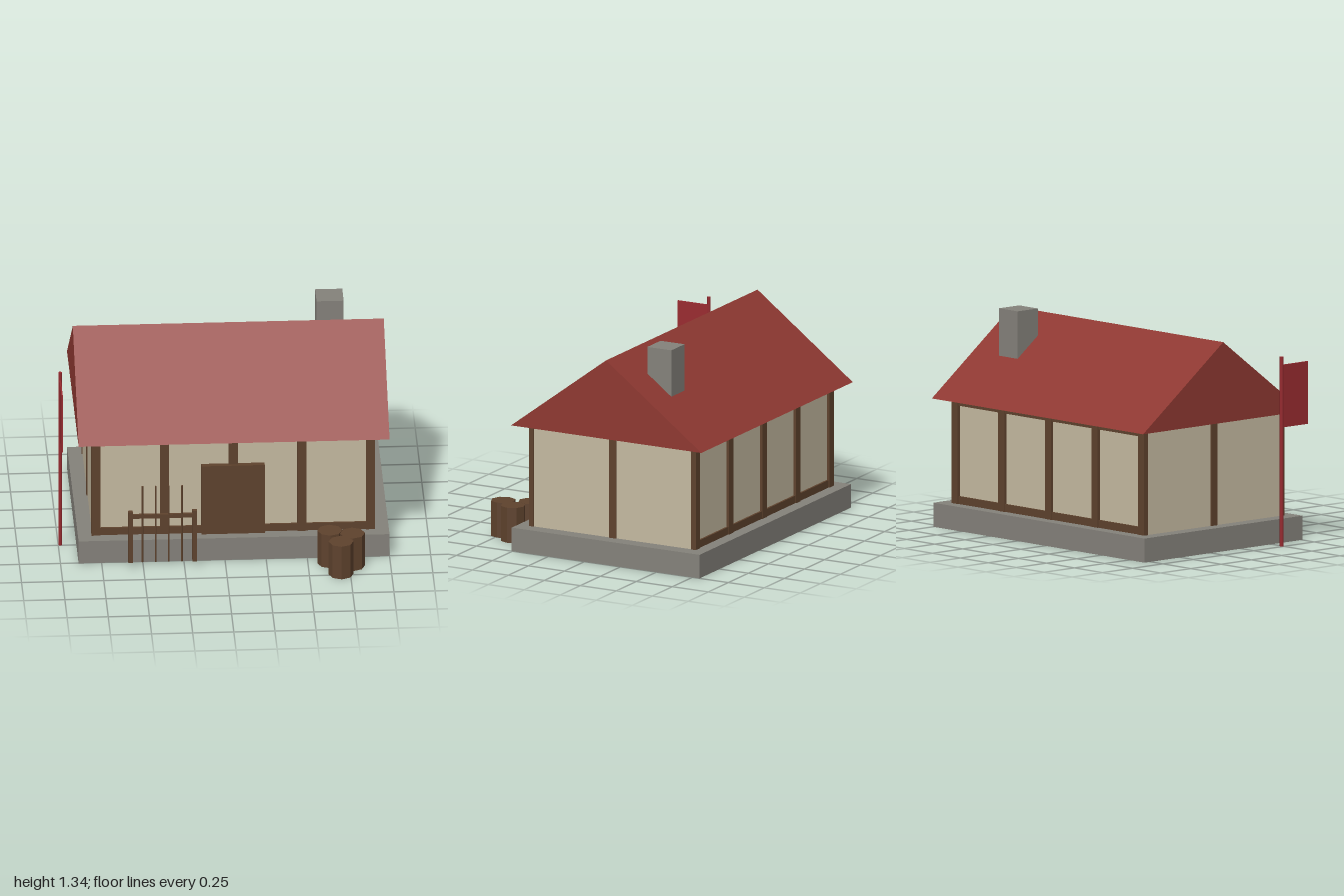
import * as THREE from 'three';

const mat = (name, color) => Object.assign(new THREE.MeshStandardMaterial({ color }), { name });

export function createModel() {
  const plaster = mat('plaster', 0xc4b9a0);
  const timber = mat('timber', 0x5e422d);
  const stone = mat('stone', 0x84817a);
  const tiles = mat('roofRed', 0x8e3831);
  const cloth = mat('flagRed', 0x992b30);

  const house = new THREE.Group();
  house.name = 'house';

  const add = (name, geometry, material) => {
    const mesh = new THREE.Mesh(geometry, material);
    mesh.name = name;
    house.add(mesh);
    return mesh;
  };

  // Box given by its limits on each axis
  const box = (name, material, [x0, x1], [y0, y1], [z0, z1]) => {
    const mesh = add(name, new THREE.BoxGeometry(x1 - x0, y1 - y0, z1 - z0), material);
    mesh.position.set((x0 + x1) / 2, (y0 + y1) / 2, (z0 + z1) / 2);
    return mesh;
  };
  const around = (c, width) => [c - width / 2, c + width / 2];

  const cx = 0.054, cz = -0.148;      // centre of the building
  const floor = 0.148, eave = 0.79;

  // Foundation and walls
  box('foundation', stone, [-0.89, 1], [0, floor], [-0.8, 0.505]);
  box('walls', plaster, around(cx, 1.712), [floor, eave], around(cz, 1.12));

  // Timber frame on the front and back walls
  for (const side of [1, -1]) {
    const z = around(cz + side * 0.563, 0.032);
    for (let i = -2; i <= 2; i++) {
      box('wallPost', timber, around(cx + i * 0.417, 0.055), [floor, eave], z);
    }
    const beamZ = around(cz + side * 0.561, 0.024);
    box('sillBeam', timber, around(cx, 1.72), [floor, 0.195], beamZ);
    box('topBeam', timber, around(cx, 1.72), [0.752, eave], beamZ);
  }

  // Middle post on each side wall
  for (const side of [1, -1]) {
    box('sidePost', timber, around(cx + side * 0.85, 0.026), [floor, eave], around(cz, 0.05));
  }

  // Door
  box('door', timber, [-0.14, 0.245], [floor, 0.607], [0.41, 0.447]);

  // Solid gable roof, extruded along x
  const gable = new THREE.Shape([
    new THREE.Vector2(-0.51, eave),
    new THREE.Vector2(0.812, eave),
    new THREE.Vector2(0.15, 1.285),
  ]);
  const roof = add('roof', new THREE.ExtrudeGeometry(gable, { depth: 1.89, bevelEnabled: false }), tiles);
  roof.rotation.y = Math.PI / 2;
  roof.position.x = -0.89;

  // Chimney
  box('chimney', stone, [0.6, 0.765], [0.95, 1.335], [-0.473, -0.306]);

  // Flag on its pole
  const pole = add('flagPole', new THREE.CylinderGeometry(0.012, 0.012, 1.165, 6), cloth);
  pole.position.set(-0.988, 1.165 / 2, 0.242);
  box('flag', cloth, around(-0.988, 0.009), [0.73, 1.115], [0.242, 0.457]);

  // Rack with upright poles
  for (const x of [-0.58, -0.19]) {
    box('rackPost', timber, around(x, 0.028), [0.05, 0.39], around(0.604, 0.026));
  }
  box('rackRail', timber, [-0.58, -0.19], [0.345, 0.37], around(0.604, 0.018));
  for (let i = 0; i < 4; i++) {
    const shaft = add('rackPole', new THREE.CylinderGeometry(0.006, 0.006, 0.51, 6), timber);
    shaft.position.set(-0.507 + i * 0.08, 0.305, 0.607);
  }

  // Three barrels beside the corner
  for (const [x, z] of [[0.633, 0.578], [0.768, 0.625], [0.693, 0.735]]) {
    const geometry = new THREE.CylinderGeometry(0.076, 0.076, 0.22, 8).toNonIndexed();
    geometry.computeVertexNormals();
    add('barrel', geometry, timber).position.set(x, 0.11, z);
  }

  return house;
}
